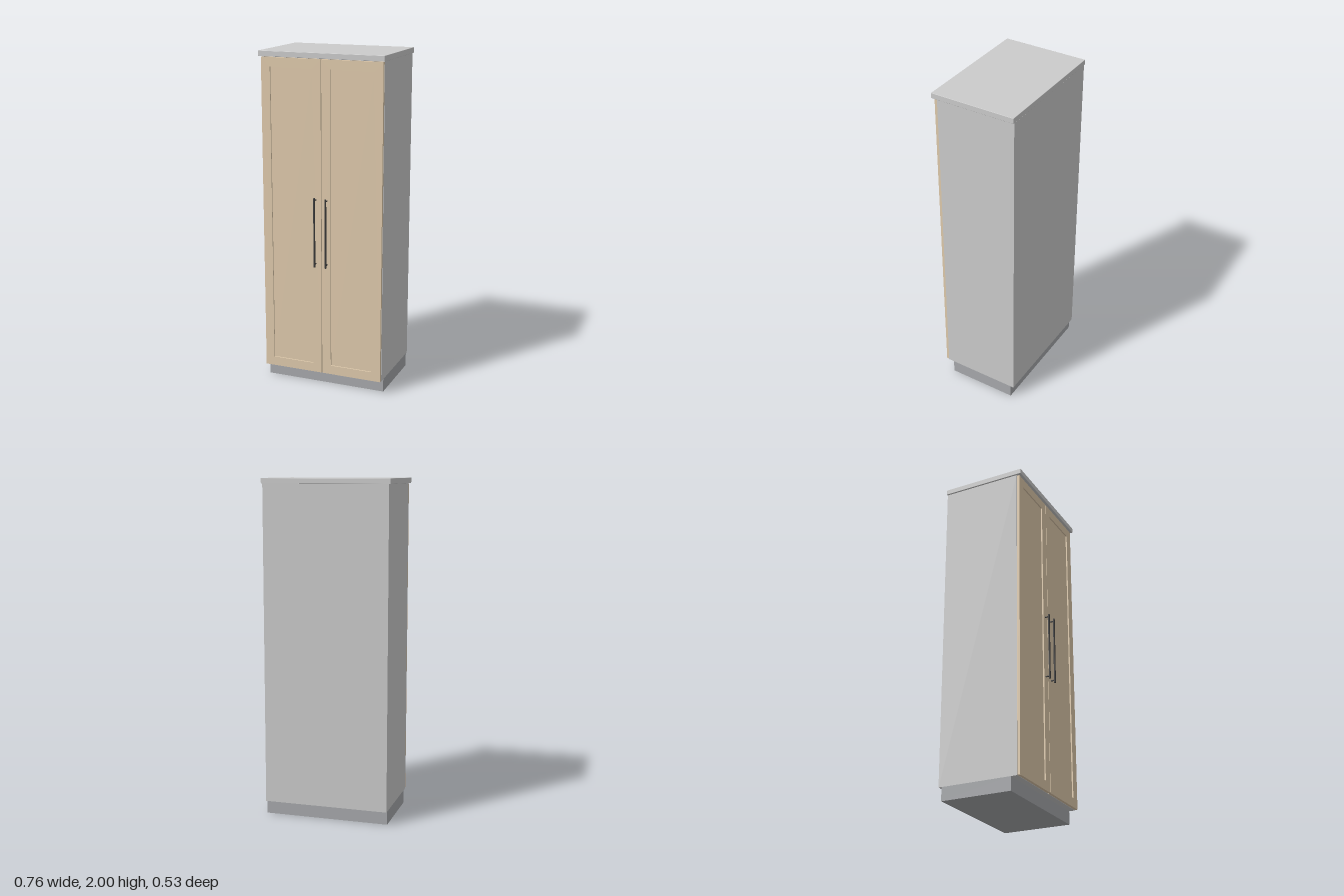
import * as THREE from 'three';
import { RoundedBoxGeometry } from 'three/addons/geometries/RoundedBoxGeometry.js';

const grey = new THREE.MeshStandardMaterial({ color: 0xcccccc });
const wood = new THREE.MeshStandardMaterial({ color: 0xdfcaac });
const plinthGrey = new THREE.MeshStandardMaterial({ color: 0xa7a9ac });
const dark = new THREE.MeshStandardMaterial({ color: 0x404040 });

function add(parent, name, geometry, material) {
  const mesh = new THREE.Mesh(geometry, material);
  mesh.name = name;
  parent.add(mesh);
  return mesh;
}

// Box given by its min and max corners
function box(parent, name, material, [x0, y0, z0], [x1, y1, z1]) {
  const geometry = new THREE.BoxGeometry(x1 - x0, y1 - y0, z1 - z0);
  geometry.translate((x0 + x1) / 2, (y0 + y1) / 2, (z0 + z1) / 2);
  return add(parent, name, geometry, material);
}

// Rectangle outline, as a shape or as a hole
function rectangle(PathType, x0, y0, x1, y1) {
  return new PathType([[x0, y0], [x1, y0], [x1, y1], [x0, y1]].map(p => new THREE.Vector2(...p)));
}

// Framed door with a shallow recessed panel; side is -1 or 1
function door(side) {
  const group = new THREE.Group();
  group.name = side > 0 ? 'leftDoor' : 'rightDoor';
  const inner = 0.002, outer = 0.371, bottom = 0.082, top = 1.964, stile = 0.055;
  const back = 0.217, front = 0.234, recess = 0.008;
  const x0 = side > 0 ? inner : -outer, x1 = side > 0 ? outer : -inner;

  const outline = rectangle(THREE.Shape, x0, bottom, x1, top);
  outline.holes.push(rectangle(THREE.Path, x0 + stile, bottom + stile, x1 - stile, top - stile));
  const frame = new THREE.ExtrudeGeometry(outline, { depth: front - back, bevelEnabled: false });
  frame.translate(0, 0, back);
  add(group, 'doorFrame', frame, wood);
  box(group, 'doorPanel', wood, [x0 + stile, bottom + stile, back], [x1 - stile, top - stile, front - recess]);

  // Bar handle on two standoffs
  const handle = new THREE.Group();
  handle.name = 'handle';
  const x = side * 0.035, z = 0.259, radius = 0.0055;
  add(handle, 'handleBar', new THREE.CylinderGeometry(radius, radius, 0.415, 16), dark).position.set(x, 0.962, z);
  for (const y of [0.77, 1.155]) {
    const post = add(handle, 'handlePost', new THREE.CylinderGeometry(0.004, 0.004, z - front, 12), dark);
    post.rotation.x = Math.PI / 2;
    post.position.set(x, y, (z + front) / 2);
  }
  group.add(handle);
  return group;
}

export function createModel() {
  const model = new THREE.Group();
  model.name = 'cabinet';

  // Recessed base and carcass
  box(model, 'plinth', plinthGrey, [-0.373, 0, -0.244], [0.373, 0.08, 0.18]);
  box(model, 'carcass', grey, [-0.373, 0.08, -0.263], [0.373, 1.968, 0.217]);

  // Overhanging top with softened edges
  const slab = add(model, 'topBoard', new RoundedBoxGeometry(0.764, 0.032, 0.512, 2, 0.002), grey);
  slab.position.set(0, 1.984, -0.008);

  for (const side of [-1, 1]) model.add(door(side));
  return model;
}
